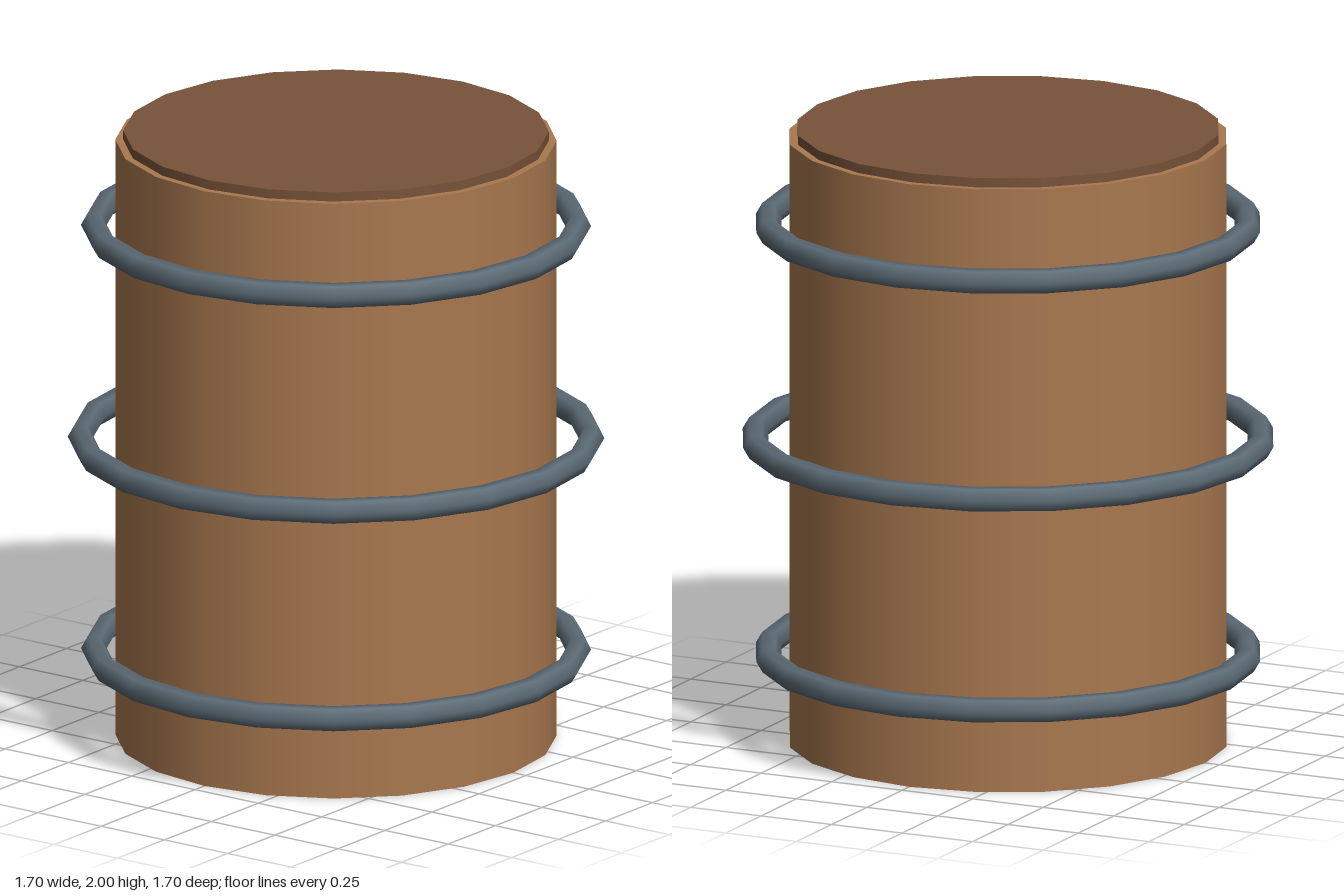
import * as THREE from 'three';

const SIDES = 20;

function material(name, color) {
  const m = new THREE.MeshStandardMaterial({ color });
  m.name = name;
  return m;
}

export function createModel() {
  const model = new THREE.Group();
  model.name = 'barrel';
  const wood = material('wood', 0xa9784f);
  const darkWood = material('dark wood', 0x775239);
  const iron = material('iron', 0x5c6b76);

  const add = (name, geometry, mat, y) => {
    const mesh = new THREE.Mesh(geometry, mat);
    mesh.name = name;
    mesh.position.y = y;
    model.add(mesh);
  };

  // Straight body; its underside is dark wood
  const bodyHeight = 1.97;
  add('body', new THREE.CylinderGeometry(0.7, 0.7, bodyHeight, SIDES),
    [wood, wood, wood], bodyHeight / 2);

  // Lid set slightly in from the rim
  add('lid', new THREE.CylinderGeometry(0.675, 0.675, 0.06, SIDES), darkWood, 1.97);

  // Three loose hoops, the middle one wider
  const hoops = [
    ['lowerHoop', 0.768, 0.285],
    ['middleHoop', 0.81, 0.985],
    ['upperHoop', 0.768, 1.687],
  ];
  for (const [name, radius, y] of hoops) {
    add(name, new THREE.TorusGeometry(radius, 0.041, 6, SIDES).rotateX(Math.PI / 2), iron, y);
  }
  return model;
}
